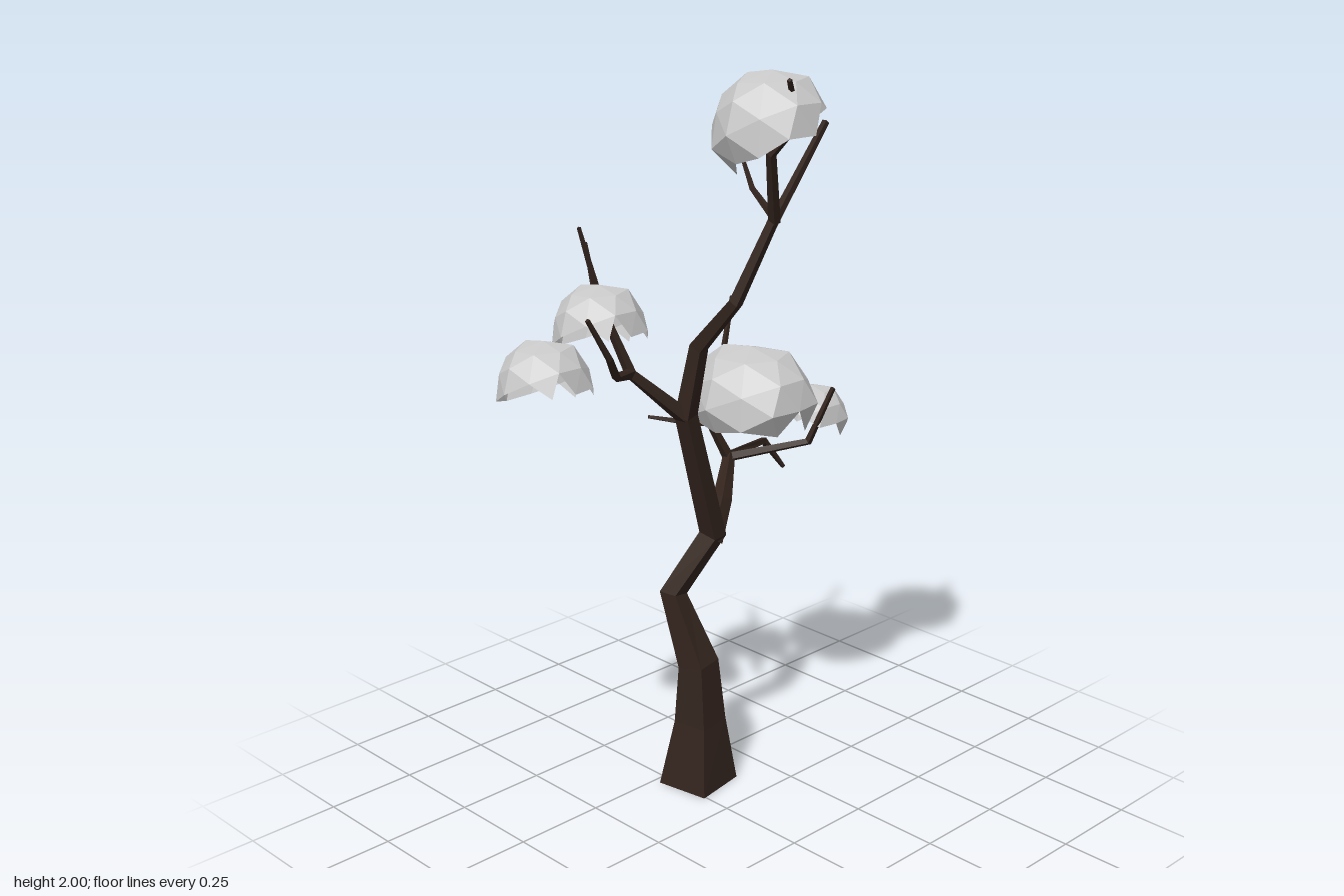
import * as THREE from 'three';

const bark = new THREE.MeshStandardMaterial({ color: 0x34251e, flatShading: true });
const leaf = new THREE.MeshStandardMaterial({ color: 0xcccccc, flatShading: true, side: THREE.DoubleSide });
const UP = new THREE.Vector3(0, 1, 0);

// Four-sided limb through points [x, y, z, radius]
function limb(name, points, yaw = Math.PI / 4, flatBase = false) {
  const p = points.map(([x, y, z]) => new THREE.Vector3(x, y, z));
  const last = p.length - 1;
  const pos = [], index = [];
  p.forEach((c, i) => {
    const t = new THREE.Vector3();
    if (i > 0) t.add(c.clone().sub(p[i - 1]).normalize());
    if (i < last) t.add(p[i + 1].clone().sub(c).normalize());
    if (i === 0 && flatBase) t.copy(UP);
    const q = new THREE.Quaternion().setFromUnitVectors(UP, t.normalize());
    for (let k = 0; k < 4; k++) {
      const a = yaw + k * Math.PI / 2, r = points[i][3];
      const v = new THREE.Vector3(Math.cos(a) * r, 0, -Math.sin(a) * r).applyQuaternion(q).add(c);
      pos.push(v.x, v.y, v.z);
      if (i < last) {
        const s = i * 4 + k, n = i * 4 + (k + 1) % 4;
        index.push(s, n, n + 4, s, n + 4, s + 4);
      }
    }
  });
  const e = last * 4;
  index.push(0, 2, 1, 0, 3, 2, e, e + 1, e + 2, e, e + 2, e + 3); // end caps
  const g = new THREE.BufferGeometry();
  g.setAttribute('position', new THREE.Float32BufferAttribute(pos, 3));
  g.setIndex(index);
  const flat = g.toNonIndexed();
  flat.computeVertexNormals();
  const mesh = new THREE.Mesh(flat, bark);
  mesh.name = name;
  return mesh;
}

// Hollow faceted cap of leaves; faces below a tilted plane are left out
function foliage(name, center, radii, tilt, cut) {
  const src = new THREE.IcosahedronGeometry(1, 1).attributes.position;
  const n = new THREE.Vector3(...tilt);
  const pos = [];
  for (let f = 0; f < src.count; f += 3) {
    const tri = [0, 1, 2].map(k => new THREE.Vector3().fromBufferAttribute(src, f + k));
    const mid = tri[0].clone().add(tri[1]).add(tri[2]).divideScalar(3);
    if (mid.dot(n) < cut) continue;
    for (const v of tri) {
      const bump = 1.01 + 0.05 * Math.sin(v.x * 5.1 + v.y * 3.7 + v.z * 7.3);
      pos.push(v.x * radii[0] * bump, v.y * radii[1] * bump, v.z * radii[2] * bump);
    }
  }
  const g = new THREE.BufferGeometry();
  g.setAttribute('position', new THREE.Float32BufferAttribute(pos, 3));
  g.computeVertexNormals();
  const mesh = new THREE.Mesh(g, leaf);
  mesh.name = name;
  mesh.position.set(...center);
  return mesh;
}

export function createModel() {
  const tree = new THREE.Group();
  tree.name = 'tree';

  // Trunk, bending up to the high fork
  tree.add(limb('trunk', [
    [-0.168, 0, -0.055, 0.107], [-0.16, 0.19, -0.055, 0.07], [-0.16, 0.36, -0.05, 0.055],
    [-0.23, 0.555, -0.025, 0.037], [-0.165, 0.72, -0.11, 0.037], [-0.13, 1.09, 0.018, 0.03],
    [-0.085, 1.28, 0.015, 0.025], [0.05, 1.42, 0.02, 0.018], [0.12, 1.63, -0.04, 0.014],
  ], Math.PI / 4 + 0.17, true));

  const branches = {
    // Top of the tree
    topBranch: [[0.12, 1.62, -0.04, 0.015], [0.17, 1.8, 0.025, 0.013], [0.24, 1.88, 0.01, 0.01], [0.283, 1.99, 0.085, 0.006]],
    topSideTwig: [[0.17, 1.8, 0.025, 0.01], [0.17, 1.86, -0.06, 0.007]],
    topBackBranch: [[0.12, 1.62, -0.035, 0.013], [0.12, 1.84, -0.215, 0.009]],
    topRightTwig: [[0.12, 1.63, -0.04, 0.01], [0.04, 1.69, -0.045, 0.007], [-0.035, 1.74, -0.09, 0.005]],
    // Front limb
    frontBranch: [[-0.13, 1.08, 0.015, 0.024], [-0.18, 1.22, 0.16, 0.016], [-0.12, 1.245, 0.26, 0.011],
      [-0.035, 1.33, 0.355, 0.009], [-0.03, 1.44, 0.425, 0.006]],
    frontUpperBranch: [[-0.18, 1.21, 0.155, 0.015], [-0.22, 1.38, 0.21, 0.01], [-0.235, 1.6, 0.27, 0.005]],
    frontSideTwig: [[-0.22, 1.38, 0.21, 0.009], [-0.265, 1.43, 0.2, 0.008], [-0.33, 1.53, 0.17, 0.005]],
    // Back limb
    backBranch: [[-0.165, 0.7, -0.105, 0.03], [-0.18, 0.8, -0.16, 0.026], [-0.255, 0.88, -0.26, 0.017],
      [-0.315, 0.86, -0.455, 0.011], [-0.31, 0.765, -0.53, 0.007]],
    backLeftBranch: [[-0.255, 0.875, -0.26, 0.014], [-0.065, 0.94, -0.37, 0.011], [-0.02, 1.09, -0.415, 0.007]],
    backUpperBranch: [[-0.255, 0.87, -0.26, 0.016], [-0.27, 0.98, -0.205, 0.012], [-0.27, 1.07, -0.23, 0.01], [-0.32, 1.3, -0.335, 0.006]],
    backInnerTwig: [[-0.27, 0.98, -0.205, 0.011], [-0.275, 1.01, -0.1, 0.009], [-0.32, 1.03, -0.025, 0.005]],
    backInnerSprout: [[-0.275, 1.005, -0.105, 0.008], [-0.265, 1.1, -0.105, 0.006]],
  };
  for (const [name, points] of Object.entries(branches)) tree.add(limb(name, points));

  // Foliage caps
  tree.add(
    foliage('topFoliage', [0.185, 1.865, 0.04], [0.145, 0.135, 0.14], [-0.4, 1, 0.4], -0.2),
    foliage('frontUpperFoliage', [-0.19, 1.355, 0.25], [0.12, 0.11, 0.117], [-0.4, 1, -0.1], -0.2),
    foliage('frontLowerFoliage', [-0.19, 1.25, 0.428], [0.12, 0.11, 0.117], [-0.4, 1, -0.1], -0.2),
    foliage('backLargeFoliage', [-0.145, 1.08, -0.23], [0.185, 0.14, 0.157], [-0.1, 1, 0.15], -0.35),
    foliage('backSmallFoliage', [-0.13, 0.98, -0.445], [0.1, 0.09, 0.105], [0, 1, -0.5], -0.1),
  );
  return tree;
}
